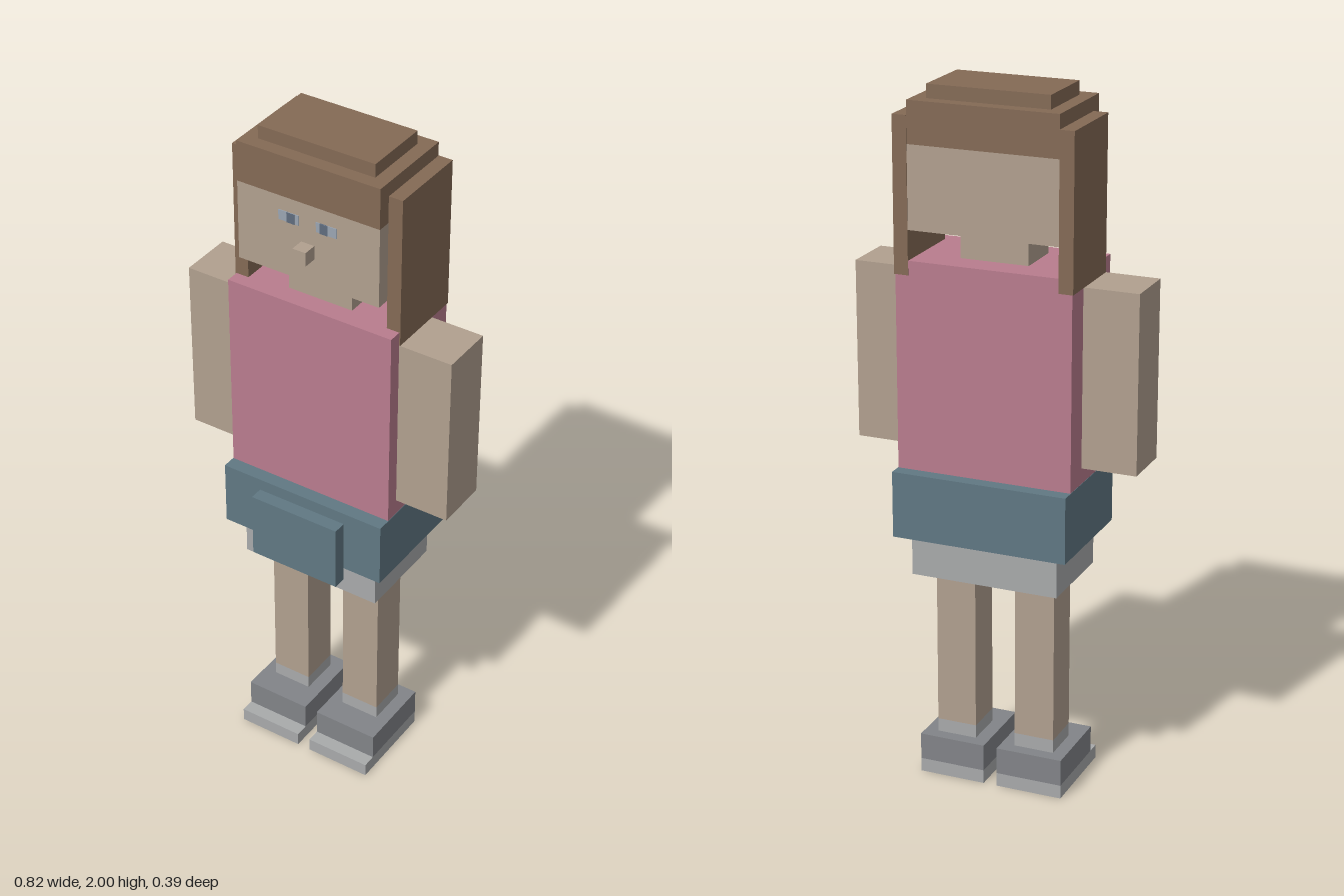
import * as THREE from 'three';

const paint = (name, color) => {
  const m = new THREE.MeshStandardMaterial({ color });
  m.name = name;
  return m;
};

export function createModel() {
  const skin = paint('skin', 0xb1a08f);
  const hair = paint('hairBrown', 0x846a55);
  const pink = paint('shirtPink', 0xb97c8e);
  const denim = paint('denimBlue', 0x607883);
  const lightGrey = paint('lightGrey', 0xa8aaab);
  const shoeGrey = paint('shoeGrey', 0x828488);
  const eyePale = paint('eyePale', 0x9aa5b2);
  const eyeDark = paint('eyeDark', 0x5f6c7e);

  const model = new THREE.Group();
  model.name = 'blockFigure';

  // A box given by its limits on each axis
  const box = (name, material, [x0, x1], [y0, y1], [z0, z1]) => {
    const mesh = new THREE.Mesh(new THREE.BoxGeometry(x1 - x0, y1 - y0, z1 - z0), material);
    mesh.position.set((x0 + x1) / 2, (y0 + y1) / 2, (z0 + z1) / 2);
    mesh.name = name;
    model.add(mesh);
    return mesh;
  };
  // A box on each side of x = 0
  const pair = (name, material, [x0, x1], y, z) => {
    box(name + 'Left', material, [x0, x1], y, z);
    box(name + 'Right', material, [-x1, -x0], y, z);
  };

  // Head and hair
  box('face', skin, [-0.215, 0.215], [1.614, 1.845], [-0.156, 0.117]);
  box('hairCrown', hair, [-0.215, 0.215], [1.845, 1.962], [-0.156, 0.117]);
  box('hairTop', hair, [-0.175, 0.175], [1.962, 2.0], [-0.118, 0.078]);
  pair('hairSide', hair, [0.215, 0.256], [1.49, 1.922], [-0.158, 0.078]);
  box('nose', skin, [-0.02, 0.02], [1.69, 1.73], [0.117, 0.157]);
  pair('eyeWhite', eyePale, [0.026, 0.088], [1.775, 1.804], [0.115, 0.119]);
  pair('pupil', eyeDark, [0.038, 0.062], [1.775, 1.804], [0.116, 0.121]);
  box('neck', skin, [-0.098, 0.098], [1.53, 1.614], [-0.078, 0.06]);

  // Torso and arms
  box('shirt', pink, [-0.253, 0.253], [0.94, 1.53], [-0.156, 0.117]);
  pair('arm', skin, [0.253, 0.41], [0.985, 1.49], [-0.078, 0.078]);

  // Jacket round the waist, with its front flap, over the shorts
  box('waistWrap', denim, [-0.254, 0.254], [0.75, 0.94], [-0.195, 0.157]);
  box('frontFlap', denim, [-0.137, 0.137], [0.71, 0.905], [0.157, 0.196]);
  box('shorts', lightGrey, [-0.215, 0.215], [0.63, 0.75], [-0.156, 0.117]);

  // Legs, socks and shoes
  pair('leg', skin, [0.06, 0.177], [0.157, 0.63], [-0.078, 0.04]);
  pair('sock', lightGrey, [0.06, 0.177], [0.118, 0.157], [-0.078, 0.04]);
  pair('shoe', shoeGrey, [0.02, 0.215], [0.04, 0.118], [-0.115, 0.117]);
  pair('sole', lightGrey, [0.02, 0.215], [0, 0.04], [-0.115, 0.157]);

  return model;
}
